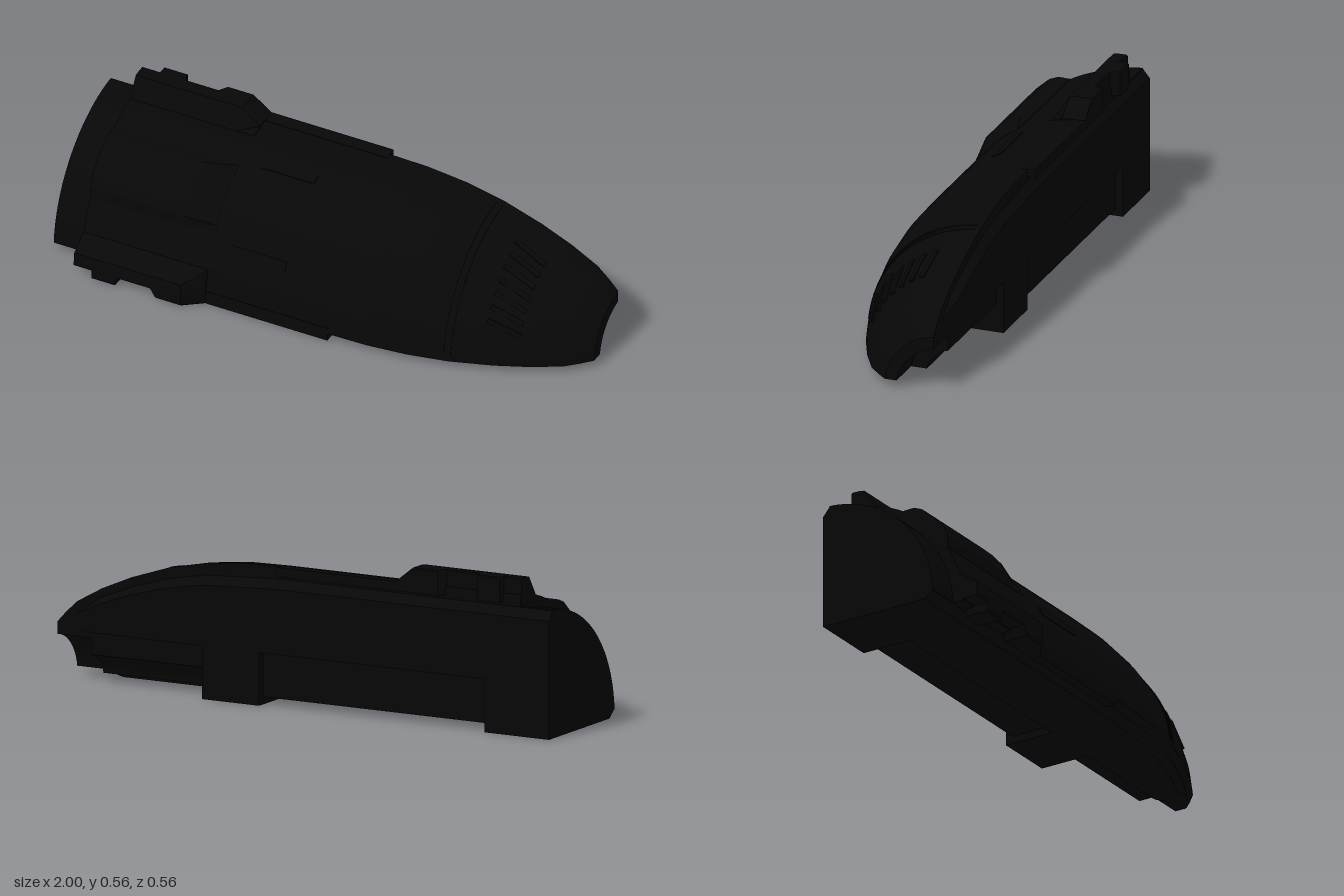
import * as THREE from 'three';

// The hull is a quarter round about an axis along x at (y, z) = (Y0, Z0).
const Y0 = 0.008, Z0 = -0.277, GAP = 0.027, SEG = 20;
const D2R = Math.PI / 180;

// Outer radius along the tapering nose: [x, r]
const NOSE = [[0.1, 0.5], [0.25, 0.497], [0.4, 0.481], [0.55, 0.45], [0.7, 0.4],
  [0.82, 0.348], [0.92, 0.292], [0.965, 0.25], [1, 0.212]];

function radiusAt(x) {
  if (x <= NOSE[0][0]) return NOSE[0][1];
  for (let i = 1; i < NOSE.length; i++) {
    const [xa, ra] = NOSE[i - 1], [xb, rb] = NOSE[i];
    if (x <= xb) return ra + (rb - ra) * (x - xa) / (xb - xa);
  }
  return NOSE[NOSE.length - 1][1];
}

// Lofts closed [w, h] sections (w = z offset, h = y offset) along x.
// Each section runs over its outer edge, then back along its inner edge.
function loft(stations) {
  const pos = [];
  const pts = stations.map(s => s.loop.map(([w, h]) => [s.x, Y0 + h, Z0 + w]));
  const quad = (a, b, c, d) => pos.push(...a, ...b, ...c, ...a, ...c, ...d);
  const n = pts[0].length;
  for (let s = 0; s < pts.length - 1; s++) {
    for (let i = 0; i < n; i++) {
      const j = (i + 1) % n;
      quad(pts[s][i], pts[s + 1][i], pts[s + 1][j], pts[s][j]);
    }
  }
  const first = pts[0], last = pts[pts.length - 1];
  for (let i = 0; i < n / 2 - 1; i++) {
    const a = n - 1 - i, b = n - 2 - i;
    quad(last[a], last[b], last[i + 1], last[i]);
    quad(first[i], first[i + 1], first[b], first[a]);
  }
  const g = new THREE.BufferGeometry();
  g.setAttribute('position', new THREE.Float32BufferAttribute(pos, 3));
  g.computeVertexNormals();
  return g;
}

const polar = (r, a) => [r * Math.cos(a), r * Math.sin(a)];

// Quarter ring whose two straight edges are set in by GAP
function quarter(x, outer, inner) {
  const arc = r => {
    const a0 = Math.asin(Math.min(GAP / r, Math.SQRT1_2)), a1 = Math.PI / 2 - a0;
    return Array.from({ length: SEG + 1 }, (_, i) => polar(r, a0 + (a1 - a0) * i / SEG));
  };
  return { x, loop: [...arc(outer), ...arc(inner).reverse()] };
}

// Same section on the other straight side of the quarter
const mirrored = stations => stations.map(s => ({
  x: s.x, loop: s.loop.map(([w, h]) => [h, w]).reverse(),
}));

export function createModel() {
  const group = new THREE.Group();
  const hull = new THREE.MeshStandardMaterial({ color: 0x070707, flatShading: true });
  hull.name = 'hullBlack';
  const add = (name, geometry) => {
    const m = new THREE.Mesh(geometry, hull);
    m.name = name;
    group.add(m);
    return m;
  };
  const addPair = (name, stations) => {
    add(name + 'Top', loft(stations));
    add(name + 'Bottom', loft(mirrored(stations)));
  };

  // Main hull: narrow tail, round body, nose with a stepped hollow core
  const solid = 0.0382;
  const core = x => (x < 0.4 ? solid : x < 0.86 ? 0.11 : 0.168);
  const stations = [quarter(-1, 0.46, solid), quarter(-0.87, 0.46, solid), quarter(-0.87, 0.5, solid)];
  for (const [x, r] of NOSE) {
    if (x === 0.4) stations.push(quarter(x, r, solid));
    if (x === 0.92) {
      stations.push(quarter(0.86, radiusAt(0.86), 0.11), quarter(0.86, radiusAt(0.86), 0.168));
    }
    stations.push(quarter(x, r, core(x)));
  }
  add('hull', loft(stations));

  // Pads on the two flat sides
  addPair('sidePad', [-1, 0.1, 0.4, 0.55, 0.7, 0.83, 0.92].map(x => {
    const k = radiusAt(x) / 0.5, w = x > 0.9 ? GAP : 0;
    return { x, loop: [[0.03, 0.459 * k], [w, 0.423 * k], [w, 0.19], [0.03, 0.19]] };
  }));

  // Rim rails that bridge the inset edges
  addPair('rimRail', [-0.4, 0.1].map(x => ({
    x, loop: [[0.05, 0.499], [0, 0.502], [0, 0.468], [0.05, 0.468]],
  })));

  // Raised fairings at the rims, notched on their flat side: [x, height, inset]
  const fairing = [[-0.87, 1, 0.033], [-0.8, 1, 0.033], [-0.8, 1, 0], [-0.71, 1, 0], [-0.7, 1, 0.033],
    [-0.57, 1, 0.033], [-0.55, 1, 0], [-0.45, 1, 0], [-0.38, 0, 0]];
  addPair('rimFairing', fairing.map(([x, k, w]) => ({
    x,
    loop: [[0.132, 0.484], [0.087, 0.497 + 0.057 * k], [0.07, 0.5 + 0.057 * k],
      [w + 0.005, 0.501 + 0.057 * k], [w, 0.501 + 0.052 * k],
      [w, 0.468], [w + 0.005, 0.468], [0.07, 0.464], [0.087, 0.462], [0.132, 0.45]],
  })));

  // Raised fairing along the middle of the curved face
  const bulge = [[30, 0], [34, 0.024], [38, 0.033], [45, 0.033], [52, 0.033], [56, 0.024], [60, 0]];
  add('middleFairing', loft([[-0.87, 1], [-0.5, 1], [-0.38, 0]].map(([x, k]) => ({
    x,
    loop: [...bulge.map(([a, d]) => polar(0.501 + d * k, a * D2R)),
      ...bulge.map(([a]) => polar(0.46, a * D2R)).reverse()],
  }))));

  // Blocks on the inner corner
  for (const [xa, xb] of [[-1, -0.74], [0.17, 0.4]]) {
    add('cornerBlock', new THREE.BoxGeometry(xb - xa, 0.2, 0.2))
      .position.set((xa + xb) / 2, Y0 + 0.1, Z0 + 0.1);
  }

  // Narrow bands round the start of the nose
  for (const x of [0.52, 0.545]) {
    add('noseBand', loft([x, x + 0.012].map(px => {
      const angles = Array.from({ length: SEG + 1 }, (_, i) => (6 + 78 * i / SEG) * D2R);
      const r = radiusAt(px);
      return { x: px, loop: [...angles.map(a => polar(r + 0.002, a)),
        ...angles.map(a => polar(r - 0.02, a)).reverse()] };
    })));
  }

  // Small parts laid on the curved face at angle a
  const place = (name, size, x, a, pitch, twist) => {
    const pivot = new THREE.Group();
    pivot.name = name + 'Mount';
    pivot.position.set(0, Y0, Z0);
    pivot.rotation.x = -a * D2R;
    const m = new THREE.Mesh(new THREE.BoxGeometry(...size), hull);
    m.name = name;
    m.position.set(x, 0, radiusAt(x));
    m.rotation.set(0, pitch, twist);
    pivot.add(m);
    group.add(pivot);
  };
  for (let i = 0; i < 7; i++) place('vent', [0.13, 0.018, 0.01], 0.72, 25 + i * 7, 0.38, -0.25);
  for (const a of [26, 64]) place('hatch', [0.21, 0.038, 0.006], -0.195, a, 0, 0);

  return group;
}
